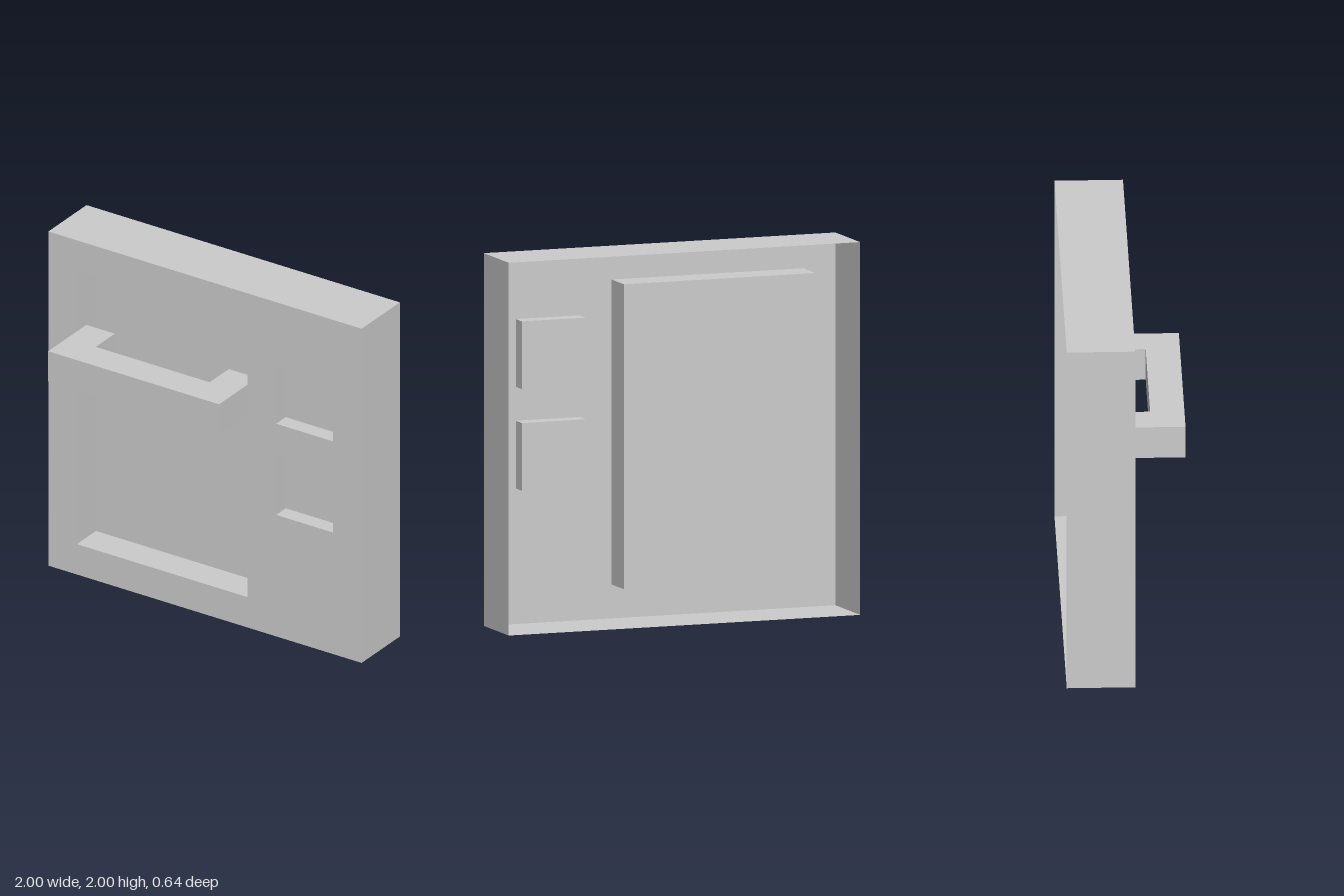
import * as THREE from 'three';

// The whole design sits on a grid of 11 units across 2
const U = 2 / 11;
const FRONT = U / 4;            // plane of the front plate
const BACK = -1.75 * U;         // open rear rim

const thin = new THREE.MeshStandardMaterial({ color: 0xcccccc, side: THREE.DoubleSide, flatShading: true });
const solid = new THREE.MeshStandardMaterial({ color: 0xcccccc, flatShading: true });

function add(parent, name, geometry, material) {
  const mesh = new THREE.Mesh(geometry, material);
  mesh.name = name;
  parent.add(mesh);
}

// Box without some faces; order is +x, -x, +y, -y, +z, -z
function openBox(r, zBack, zFront, dropped) {
  const g = new THREE.BoxGeometry(r.w, r.h, zFront - zBack);
  g.setIndex(Array.from(g.index.array).filter((_, i) => !dropped.includes(Math.floor(i / 6))));
  g.clearGroups();
  return g.translate(r.x + r.w / 2, r.y + r.h / 2, (zBack + zFront) / 2);
}

// Rectangle given in grid units from the lower corner at -x
const rect = (x, y, w, h) => ({ x: x * U - 1, y: y * U, w: w * U, h: h * U });

function outline(target, r) {
  target.moveTo(r.x, r.y);
  target.lineTo(r.x + r.w, r.y);
  target.lineTo(r.x + r.w, r.y + r.h);
  target.lineTo(r.x, r.y + r.h);
  target.closePath();
  return target;
}

export function createModel() {
  const model = new THREE.Group();
  model.name = 'panelWithHandle';

  const panel = rect(0, 0, 11, 11);
  const recesses = [
    { name: 'doorRecess', r: rect(1, 1, 6, 9), depth: U },
    { name: 'upperRecess', r: rect(8, 7, 2, 2), depth: U / 2 },
    { name: 'lowerRecess', r: rect(8, 4, 2, 2), depth: U / 2 },
  ];

  // Front plate with openings, and the shell walls behind it
  const plate = outline(new THREE.Shape(), panel);
  recesses.forEach(({ r }) => plate.holes.push(outline(new THREE.Path(), r)));
  add(model, 'frontPlate', new THREE.ShapeGeometry(plate).translate(0, 0, FRONT), thin);
  add(model, 'outerWalls', openBox(panel, BACK, FRONT, [4, 5]), thin);

  // Pockets open to the front
  recesses.forEach(({ name, r, depth }) =>
    add(model, name, openBox(r, FRONT - depth, FRONT, [4]), thin));

  // U-shaped handle, its legs reaching halfway into the large recess
  const handle = outline(new THREE.Shape(), { x: 0, y: 0, w: 6 * U, h: U });
  const bar = new THREE.Shape();
  [[0, 0], [6, 0], [6, 2], [5, 2], [5, 1], [1, 1], [1, 2], [0, 2]].forEach(([x, d], i) =>
    bar[i ? 'lineTo' : 'moveTo'](x * U, d * U));
  bar.closePath();
  const g = new THREE.ExtrudeGeometry(bar, { depth: U, bevelEnabled: false });
  // Shape depth points to -z, extrusion points up
  g.rotateX(-Math.PI / 2).translate(U - 1, 7 * U, 1.75 * U);
  add(model, 'handle', g, solid);

  return model;
}
